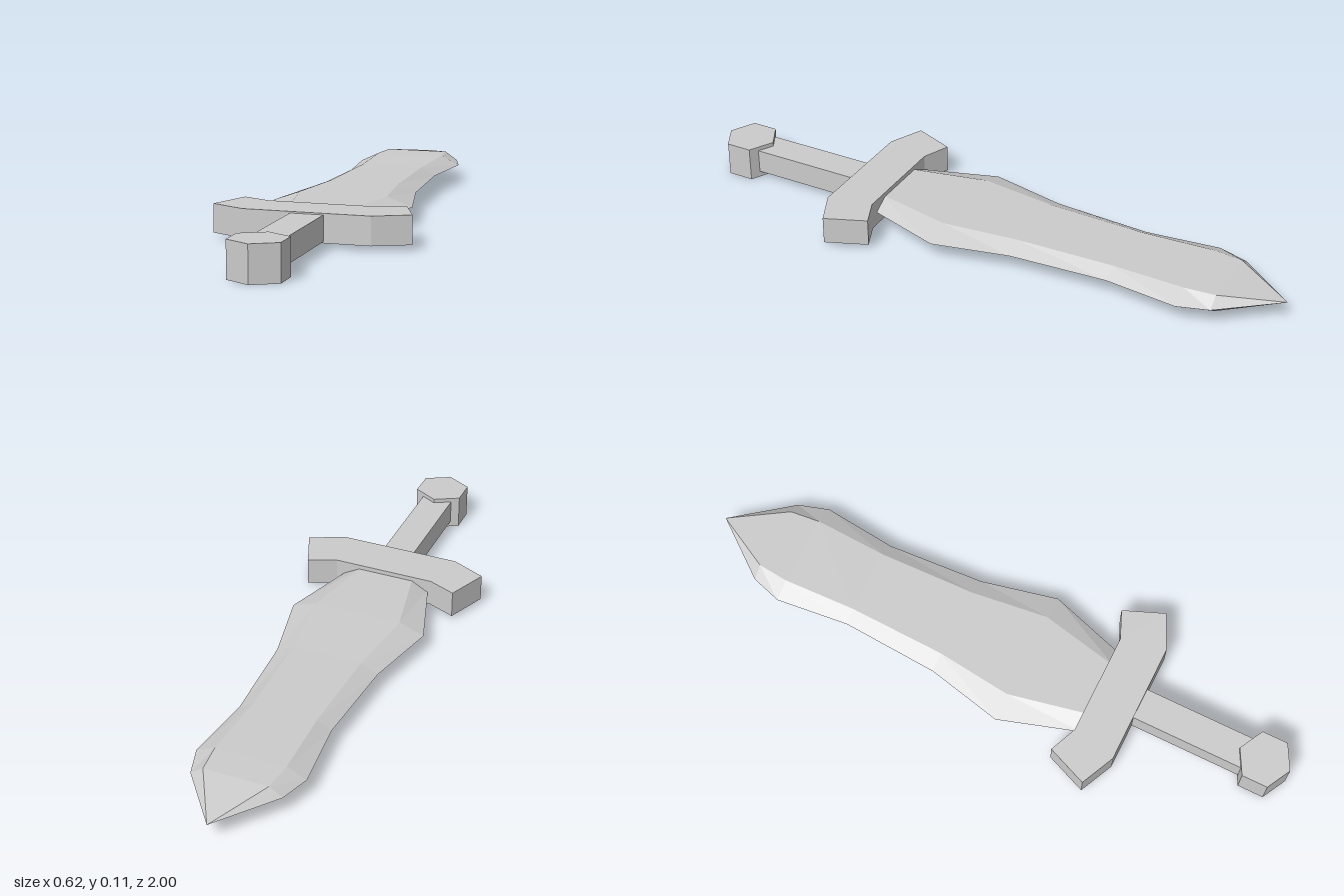
import * as THREE from 'three';

const material = new THREE.MeshStandardMaterial({ color: 0xcccccc, flatShading: true });

// Flat part: outline of [x, z] points, standing between heights y0 and y1
function slab(name, outline, y0, y1) {
  const shape = new THREE.Shape(outline.map(([x, z]) => new THREE.Vector2(x, z)));
  const geometry = new THREE.ExtrudeGeometry(shape, { depth: y1 - y0, bevelEnabled: false });
  geometry.rotateX(Math.PI / 2).translate(0, y1, 0);
  const mesh = new THREE.Mesh(geometry, material);
  mesh.name = name;
  return mesh;
}

// Six-sided cross-sections with sharp edges, lofted to a point
function blade() {
  const centre = -0.008, midY = 0.06;
  // z, half width at the edge, half width of the flat, half thickness
  const stations = [
    [0.36, 0.145, 0.09, 0.03],
    [0.10, 0.228, 0.145, 0.03],
    [-0.15, 0.172, 0.115, 0.027],
    [-0.47, 0.152, 0.105, 0.027],
    [-0.71, 0.178, 0.115, 0.03],
    [-0.81, 0.147, 0.105, 0.029],
  ];
  const rings = stations.map(([z, w, f, t]) =>
    [[-w, 0], [-f, t], [f, t], [w, 0], [f, -t], [-f, -t]].map(([x, y]) => [centre + x, midY + y, z]));
  const tip = [centre, midY, -1];
  const positions = [];
  const tri = (...corners) => corners.forEach((p) => positions.push(...p));

  for (let r = 0; r < rings.length; r++) {
    const a = rings[r], b = rings[r + 1];
    for (let k = 0; k < 6; k++) {
      const n = (k + 1) % 6;
      if (b) {
        tri(a[k], a[n], b[n]);
        tri(a[k], b[n], b[k]);
      } else {
        tri(a[k], a[n], tip);
      }
    }
  }
  // closed end inside the guard
  for (let k = 1; k < 5; k++) tri(rings[0][0], rings[0][k + 1], rings[0][k]);

  const geometry = new THREE.BufferGeometry();
  geometry.setAttribute('position', new THREE.Float32BufferAttribute(positions, 3));
  geometry.computeVertexNormals();
  const mesh = new THREE.Mesh(geometry, material);
  mesh.name = 'blade';
  return mesh;
}

export function createModel() {
  const model = new THREE.Group();
  model.name = 'dagger';

  model.add(blade());

  // Crossguard with swept-forward ends
  const half = [[0.2, 0.49], [0.312, 0.438], [0.258, 0.305], [0.168, 0.343]];
  const mirrored = half.map(([x, z]) => [-x, z]).reverse();
  model.add(slab('crossguard', [...half, ...mirrored], 0.015, 0.105));

  // Square grip
  const grip = new THREE.Mesh(new THREE.BoxGeometry(0.104, 0.08, 0.42), material);
  grip.name = 'grip';
  grip.position.set(0.002, 0.06, 0.66);
  model.add(grip);

  // Hexagonal pommel
  const pommel = new THREE.Mesh(new THREE.CylinderGeometry(0.085, 0.085, 0.114, 6), material);
  pommel.name = 'pommel';
  pommel.scale.x = 1.08;
  pommel.position.set(0.004, 0.057, 0.914);
  model.add(pommel);

  return model;
}
